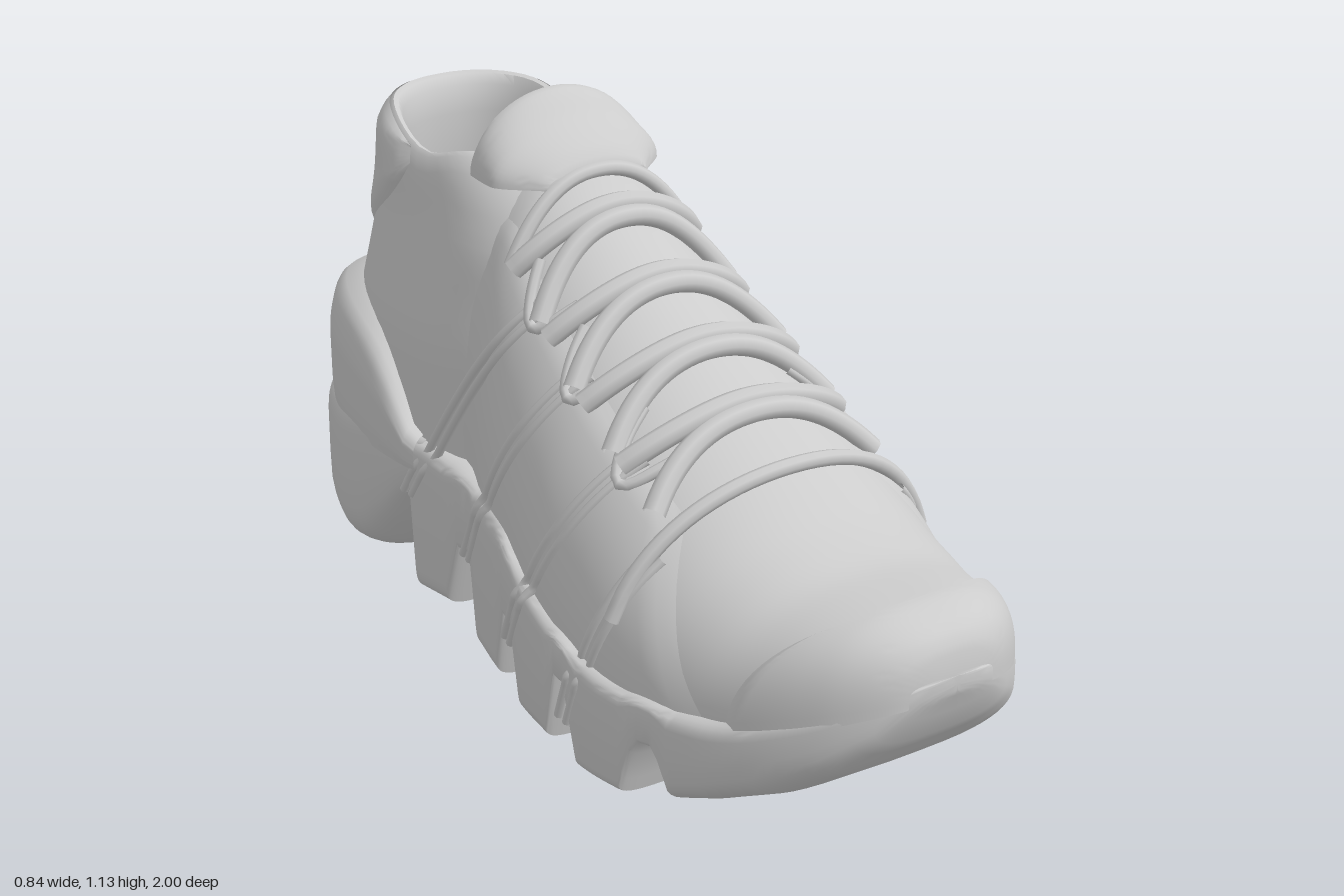
import * as THREE from 'three';
import { mergeVertices, toCreasedNormals } from 'three/addons/utils/BufferGeometryUtils.js';

const material = new THREE.MeshStandardMaterial({ color: 0xcccccc, side: THREE.DoubleSide });
const { lerp, clamp } = THREE.MathUtils;

// Interpolate a table of [key, value], straight or smooth without overshoot
const table = (pts, smooth = true) => (k) => {
  k = clamp(k, pts[0][0], pts[pts.length - 1][0]);
  let i = 0;
  while (i < pts.length - 2 && k > pts[i + 1][0]) i++;
  const slope = (j) => (pts[j + 1][1] - pts[j][1]) / (pts[j + 1][0] - pts[j][0]);
  const tangent = (j) => {
    if (j === 0) return slope(0);
    if (j === pts.length - 1) return slope(j - 1);
    const a = slope(j - 1), b = slope(j);
    return a * b <= 0 ? 0 : (2 * a * b) / (a + b);
  };
  const d = pts[i + 1][0] - pts[i][0], t = (k - pts[i][0]) / d;
  if (!smooth) return lerp(pts[i][1], pts[i + 1][1], t);
  const t2 = t * t, t3 = t2 * t;
  return (2 * t3 - 3 * t2 + 1) * pts[i][1] + (t3 - 2 * t2 + t) * d * tangent(i)
    + (3 * t2 - 2 * t3) * pts[i + 1][1] + (t3 - t2) * d * tangent(i + 1);
};
const spow = (v, e) => (Math.abs(v) < 1e-9 ? 0 : Math.sign(v) * Math.abs(v) ** e);
const range = (a, b, n) => Array.from({ length: n + 1 }, (_, i) => lerp(a, b, i / n));

// Skin a list of rows, each an equal number of points
function skin(name, rows, crease = 0.8) {
  const n = rows[0].length, index = [];
  for (let i = 0; i < rows.length - 1; i++) {
    for (let j = 0; j < n - 1; j++) {
      const a = i * n + j;
      index.push(a, a + 1, a + n, a + 1, a + n + 1, a + n);
    }
  }
  const geo = new THREE.BufferGeometry();
  geo.setAttribute('position', new THREE.Float32BufferAttribute(rows.flat(2), 3));
  geo.setIndex(index);
  const mesh = new THREE.Mesh(toCreasedNormals(mergeVertices(geo, 1e-4), crease), material);
  mesh.name = name;
  return mesh;
}

// Closed rounded cross-sections along z, with both ends filled
function loft(name, stations, width, bottom, top, lowPower, highPower, crease) {
  const rows = stations.map((z) => range(0, 2 * Math.PI, 44).map((a) => {
    const e = 2 / (a < Math.PI ? highPower(z) : lowPower(z));
    const mid = (top(z) + bottom(z)) / 2, half = (top(z) - bottom(z)) / 2;
    return [width(z) * spow(Math.cos(a), e), mid + half * spow(Math.sin(a), e), z];
  }));
  const close = (z) => rows[0].map(() => [0, (top(z) + bottom(z)) / 2, z]);
  return skin(name, [close(stations[0]), ...rows, close(stations[stations.length - 1])], crease);
}

// Sole outline and levels
const soleWidth = table([[-0.4, 0.34], [-0.2, 0.33], [0, 0.365], [0.2, 0.4], [0.4, 0.412], [0.6, 0.382],
  [0.7, 0.35], [0.8, 0.303], [0.9, 0.23], [0.95, 0.17], [0.98, 0.11], [0.995, 0.055], [1, 0.01]]);
const soleTop = table([[-0.4, 0.42], [-0.2, 0.4], [0, 0.385], [0.1, 0.34], [0.3, 0.27], [0.5, 0.245],
  [0.7, 0.262], [0.85, 0.312], [0.95, 0.358], [1, 0.38]]);
const treadPoints = [[-0.38, 0.28], [-0.365, 0.05], [-0.25, 0.06], [-0.2, 0.21], [-0.14, 0.22], [-0.11, 0.025],
  [0.01, 0.02], [0.055, 0.18], [0.1, 0.18], [0.14, 0.01], [0.26, 0.01], [0.3, 0.17], [0.335, 0.17],
  [0.38, 0.005], [0.51, 0.012], [0.54, 0.11], [0.56, 0.14], [0.59, 0.14], [0.61, 0.1], [0.63, 0.035], [0.7, 0.055],
  [0.8, 0.1], [0.9, 0.175], [0.96, 0.25], [1, 0.35]];
const tread = table(treadPoints, false);
const solePower = table([[0.5, 11], [0.62, 5], [0.75, 3.4], [1, 2.8]]);
const rimPower = table([[0.5, 11], [0.75, 6], [1, 5]]);

// Front upper: arched sections from the sole to the instep, sinking into the ankle
const upperTop = table([[-0.32, 1], [-0.2, 1.01], [-0.12, 0.95], [0, 0.865], [0.17, 0.765], [0.33, 0.675], [0.5, 0.58],
  [0.63, 0.505], [0.75, 0.472], [0.88, 0.47], [0.94, 0.452], [0.97, 0.428], [0.985, 0.4]]);
const upperPower = table([[-0.3, 2.5], [0, 2], [0.5, 2.05], [0.85, 2.6]]);
const upperBase = (z) => soleTop(z) - 0.04;
const upperWidth = (z) => soleWidth(z) * 0.92 - 0.2 * clamp(-0.12 - z, 0, 0.18);
function arch(z, a, off = 0) {
  const e = 2 / upperPower(z), b = upperBase(z);
  return [(upperWidth(z) + off) * spow(Math.cos(a), e),
    b + (upperTop(z) + off - b) * spow(Math.sin(a), e), z];
}
function sideX(z, y) {
  if (y < soleTop(z) - 0.03) return soleWidth(z) - 0.004;
  const n = upperPower(z), f = clamp((y - upperBase(z)) / (upperTop(z) - upperBase(z)), 0, 0.99);
  return soleWidth(z) * 0.92 * (1 - f ** n) ** (1 / n) + 0.008;
}

// Ankle: rings of [y, front z, back z, half width]
const collarDip = table([[-0.83, 0.04], [-0.7, 0.03], [-0.5, -0.025], [-0.36, 0.005], [-0.25, 0]]);
function ring(y, front, back, w, a) {
  const e = 2 / 2.3, z = (front + back) / 2 + ((front - back) / 2) * spow(Math.cos(a), e);
  return [w * spow(Math.sin(a), e), y + collarDip(z) * clamp((y - 0.7) * 4, 0, 1), z];
}
const ankleBack = table([[0.38, -0.9], [0.6, -0.885], [0.72, -0.865], [0.85, -0.835], [0.95, -0.82], [1, -0.805]]);
const ankleFront = table([[0.38, -0.03], [0.8, -0.04], [0.9, -0.12], [1, -0.24]]);
const ankleWidth = table([[0.38, 0.318], [0.6, 0.302], [0.75, 0.27], [0.88, 0.24], [0.96, 0.226], [1, 0.212]]);

function tube(name, points, radius, segments = 32) {
  const path = new THREE.CatmullRomCurve3(points.map((p) => new THREE.Vector3(...p)));
  const mesh = new THREE.Mesh(new THREE.TubeGeometry(path, segments, radius, 8), material);
  mesh.name = name;
  return mesh;
}

export function createModel() {
  const shoe = new THREE.Group();
  shoe.name = 'sneaker';

  // Midsole with tapered tread blocks
  const stations = [...new Set([...treadPoints.map((p) => p[0]), ...range(-0.36, 0.98, 67), 0.99, 0.995])]
    .sort((a, b) => a - b);
  shoe.add(loft('midsole', stations, soleWidth, tread, soleTop, solePower, rimPower, 0.6));

  // Heel block, rounded below and full at its upper edge
  const heelWidth = table([[-1, 0.02], [-0.99, 0.095], [-0.96, 0.172], [-0.9, 0.243], [-0.8, 0.308], [-0.6, 0.357],
    [-0.45, 0.35], [-0.35, 0.325]]);
  const heelBottom = table([[-1, 0.2], [-0.98, 0.13], [-0.93, 0.075], [-0.85, 0.035], [-0.7, 0.012], [-0.6, 0.03],
    [-0.5, 0.115], [-0.4, 0.24], [-0.35, 0.29]]);
  const heelTop = table([[-1, 0.26], [-0.99, 0.31], [-0.96, 0.375], [-0.85, 0.39], [-0.7, 0.405], [-0.5, 0.435], [-0.35, 0.42]]);
  const heelPower = table([[-1, 5], [-0.8, 4], [-0.4, 3.4]]);
  shoe.add(loft('heelBlock', [-1, -0.997, -0.99, -0.975, ...range(-0.96, -0.35, 30)],
    heelWidth, heelBottom, heelTop, heelPower, () => 7));

  // Upper shell and toe cap
  const zs = [...range(-0.3, 0.9, 48), 0.92, 0.94, 0.95, 0.96, 0.97, 0.977];
  const shell = zs.map((z) => range(0, Math.PI, 40).map((a) => arch(z, a)));
  shell.push(shell[0].map(() => [0, upperBase(0.977), 0.977]));
  shoe.add(skin('upper', shell));
  const cap = range(0, 1, 18).map((u) => range(0, Math.PI, 40).map((a) => {
    const z = lerp(0.73 + 0.14 * Math.sin(a) ** 2, 0.984, u);
    return arch(z, a, 0.015 * Math.min(1, u * 9));
  }));
  cap.push(cap[0].map(() => [0, upperBase(0.984), 0.984]));
  shoe.add(skin('toeCap', cap));

  // Side panels beside the throat
  for (const s of [1, -1]) {
    shoe.add(skin(s > 0 ? 'leftPanel' : 'rightPanel', range(0, 1, 36).map((u) => range(0, 1, 16).map((v) => {
      const a = 0.05 + v * 0.92, z = lerp(-0.29, 0.7 - 0.24 * a, u);
      const edge = Math.min(1, 4 * u, 12 * (1 - u), 8 * (1 - v));
      const p = arch(z, a, 0.01 * edge);
      return [s * p[0], p[1], z];
    }))));
  }

  // Ankle wall, rolled lip, lining and insole
  const rings = [
    ...range(0.38, 1, 20).map((y) => [y, ankleFront(y), ankleBack(y), ankleWidth(y)]),
    [1.008, -0.26, -0.795, 0.203], [1.005, -0.29, -0.78, 0.193], [0.985, -0.315, -0.765, 0.186],
    [0.93, -0.33, -0.755, 0.185], [0.8, -0.3, -0.77, 0.195], [0.6, -0.28, -0.8, 0.21], [0.47, -0.27, -0.8, 0.21],
    [0.455, -0.54, -0.54, 0]];
  shoe.add(skin('ankle', rings.map((r) => range(0, 2 * Math.PI, 56).map((a) => ring(...r, a)))));

  // Padded heel collar wrapping the back of the ankle
  shoe.add(skin('heelCollar', range(0, 1, 16).map((v) => range(0.52, 1.48, 44).map((t) => {
    const a = t * Math.PI, side = Math.abs(t - 1) / 0.48;
    const y = lerp(0.69 + 0.28 * side ** 2.2, 1.003, v);
    const bulge = 0.016 * Math.min(1, 5 * v, 5 * (1 - v), 6 * (1 - side)) ** 0.5;
    return ring(y, ankleFront(y), ankleBack(y) - bulge, ankleWidth(y) + bulge, a);
  }))));

  // Heel counter band flowing into the heel block
  const counterTop = table([[-0.96, 0.635], [-0.85, 0.65], [-0.7, 0.635], [-0.55, 0.595], [-0.45, 0.52], [-0.37, 0.42]]);
  const counterBulge = table([[0, 0.8], [0.07, 0.92], [0.2, 0.97], [0.45, 1], [0.8, 1], [1, 0.99]]);
  shoe.add(skin('heelCounter', range(0, 1, 20).map((v) => range(-0.59, 0.59, 50).map((t) => {
    const a = t * Math.PI, r = counterBulge(1 - v);
    const z0 = -0.5 - 0.468 * spow(Math.cos(a), 0.87);
    const y = lerp(0.345, counterTop(z0), v);
    return [-0.357 * r * spow(Math.sin(a), 0.87), y, -0.5 + (z0 + 0.5) * r];
  }))));

  // Raised tongue pad, arched from side to side
  const tongueTop = table([[-0.365, 1], [-0.35, 1.06], [-0.325, 1.135], [-0.25, 1.085], [-0.18, 1.035], [-0.16, 1.01]]);
  const tongueWidth = table([[-0.365, 0.175], [-0.33, 0.195], [-0.25, 0.2], [-0.16, 0.12]]);
  const pad = range(-0.365, -0.16, 22).map((z) => range(0, Math.PI, 28).map((a) =>
    [tongueWidth(z) * Math.cos(a), 0.975 + (tongueTop(z) - 0.975) * Math.sin(a), z]));
  const padEnd = (z) => pad[0].map(() => [0, 0.975, z]);
  shoe.add(skin('tongue', [padEnd(-0.365), ...pad, padEnd(-0.16)]));

  // Laces: pairs that merge over the throat and spread at the eyelets
  for (const z0 of [0.365, 0.22, 0.07, -0.08]) {
    for (const spread of [0.06, -0.055]) {
      shoe.add(tube('lace', range(0.86, Math.PI - 0.86, 16).map((a) => {
        const s = Math.abs(Math.cos(a)) / 0.652;
        return arch(z0 + spread * (0.24 + 0.76 * s ** 3), a, 0.016);
      }), 0.023));
    }
  }
  shoe.add(tube('frontLace', range(0.35, Math.PI - 0.35, 16).map((a) => arch(0.5 - 0.06 * Math.cos(a) ** 2, a, 0.016)), 0.016));
  shoe.add(tube('topLace', range(0.85, Math.PI - 0.85, 16).map((a) => arch(-0.16 + 0.03 * Math.cos(a) ** 2, a, 0.012)), 0.016));

  // Double side cords from the eyelets down to the tread blocks
  const cords = [[0.47, 0.47, 0.33, 0.1], [0.32, 0.6, 0.08, 0.15], [0.12, 0.7, -0.16, 0.22], [-0.04, 0.79, -0.39, 0.28]];
  for (const [z1, y1, z2, y2] of cords) {
    for (const s of [1, -1]) {
      for (const shift of [0.016, -0.016]) {
        shoe.add(tube('sideCord', range(0, 1, 14).map((t) => {
          const z = lerp(z1, z2, t) + shift, y = lerp(y1, y2, t);
          return [s * sideX(z, y), y, z];
        }), 0.01));
      }
    }
  }

  // Eyelet loops joining cord and lace
  for (const [z1, y1] of cords.slice(1)) {
    for (const s of [1, -1]) {
      shoe.add(tube('eyeletLoop', range(0, 1, 8).map((t) => {
        const z = z1 + lerp(0.06, -0.06, t), y = y1 + 0.04 - 0.08 * Math.sin(t * Math.PI) - 0.5 * (z - z1);
        return [s * (sideX(z, y) + 0.004), y, z];
      }), 0.012, 16));
    }
  }
  return shoe;
}
